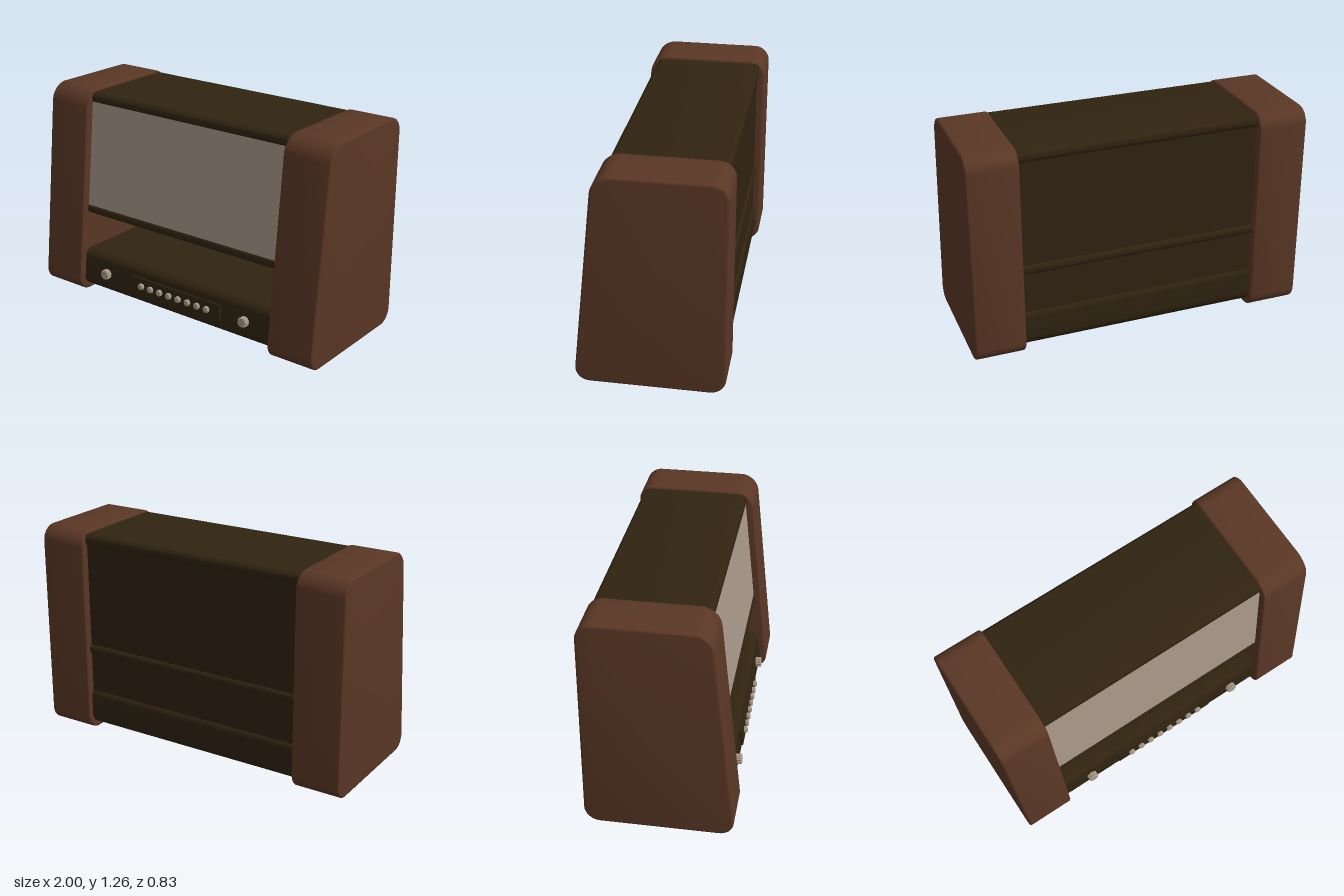
import * as THREE from 'three';
import { toCreasedNormals } from 'three/addons/utils/BufferGeometryUtils.js';

const mat = (name, color) => {
  const m = new THREE.MeshStandardMaterial({ color });
  m.name = name;
  return m;
};

// Depth of the leaning front plane at height y
const front = (y, inset = 0) => 0.426 - 0.108 * y - inset;

// Closed shape through [z, y, cornerRadius] points
function roundedShape(points) {
  const shape = new THREE.Shape();
  const n = points.length;
  points.forEach(([z, y, r], i) => {
    const c = new THREE.Vector2(z, y);
    const toward = (j) => {
      const p = points[(j + n) % n];
      return new THREE.Vector2(p[0], p[1]).sub(c).normalize();
    };
    const a = toward(i - 1), b = toward(i + 1);
    const at = (d, k) => c.clone().addScaledVector(d, k);
    const p0 = at(a, r), p3 = at(b, r), p1 = at(a, r * 0.45), p2 = at(b, r * 0.45);
    if (i === 0) shape.moveTo(p0.x, p0.y);
    else shape.lineTo(p0.x, p0.y);
    if (r > 0) shape.bezierCurveTo(p1.x, p1.y, p2.x, p2.y, p3.x, p3.y);
  });
  shape.closePath();
  return shape;
}

// Side profile extruded across the width and centred on x = 0
function slab(name, points, width, material, bevel = 0) {
  const geo = new THREE.ExtrudeGeometry(roundedShape(points), {
    depth: width - 2 * bevel, curveSegments: 10,
    bevelEnabled: bevel > 0, bevelSize: bevel, bevelThickness: bevel,
    bevelOffset: -bevel, bevelSegments: 3,
  });
  geo.translate(0, 0, -(width - 2 * bevel) / 2);
  geo.rotateY(-Math.PI / 2);
  const mesh = new THREE.Mesh(toCreasedNormals(geo, 0.6), material);
  mesh.name = name;
  return mesh;
}

// Ribbed round control pointing along +z
function knob(name, radius, length, ribs, material) {
  const pts = [];
  for (let i = 0; i < ribs * 2; i++) {
    const a = (i / (ribs * 2)) * Math.PI * 2;
    const r = radius * (i % 2 ? 0.88 : 1);
    pts.push(new THREE.Vector2(Math.cos(a) * r, Math.sin(a) * r));
  }
  const geo = new THREE.ExtrudeGeometry(new THREE.Shape(pts), {
    depth: length - 0.004, bevelEnabled: true, bevelThickness: 0.004,
    bevelSize: 0.004, bevelOffset: -0.004, bevelSegments: 1,
  });
  const mesh = new THREE.Mesh(geo, material);
  mesh.name = name;
  return mesh;
}

export function createModel() {
  const wood = mat('brown wood', 0x5a3725);
  const dark = mat('dark casing', 0x302310);
  const cloth = mat('beige', 0xa89888);
  const group = new THREE.Group();
  group.name = 'radio';
  const W = 1.42, back = -0.385;

  // Wooden end cheeks
  for (const s of [1, -1]) {
    const cheek = slab(s > 0 ? 'leftCheek' : 'rightCheek', [
      [front(0), 0, 0.09], [front(1.26), 1.26, 0.1],
      [-0.415, 1.26, 0.09], [-0.415, 0, 0.09],
    ], 0.295, wood, 0.012);
    cheek.position.x = s * 0.8525;
    group.add(cheek);
  }

  // Upper cabinet: top and bottom lips around a recessed core
  group.add(slab('topLip', [
    [front(1.18, 0.04), 1.18, 0.025], [front(1.245, 0.04), 1.245, 0.03],
    [back, 1.245, 0.03], [back, 1.18, 0.025],
  ], W, dark));
  group.add(slab('bottomLip', [
    [front(0.5, 0.04), 0.5, 0.025], [front(0.56, 0.04), 0.56, 0.025],
    [back, 0.56, 0.025], [back, 0.5, 0.025],
  ], W, dark));
  group.add(slab('cabinetCore', [
    [front(0.53, 0.054), 0.53, 0], [front(1.21, 0.054), 1.21, 0],
    [-0.37, 1.21, 0], [-0.37, 0.53, 0],
  ], W, dark));
  group.add(slab('speakerCloth', [
    [front(0.54, 0.046), 0.54, 0], [front(1.2, 0.046), 1.2, 0],
    [front(1.2, 0.054), 1.2, 0], [front(0.54, 0.054), 0.54, 0],
  ], W, cloth));

  // Wall closing the rear of the open shelf
  group.add(slab('backWall', [
    [-0.345, 0.15, 0], [-0.345, 0.53, 0], [-0.37, 0.53, 0], [-0.37, 0.15, 0],
  ], W, dark));

  // Control base
  group.add(slab('base', [
    [front(0.035, 0.04), 0.035, 0.06], [front(0.27, 0.04), 0.27, 0.045],
    [back, 0.27, 0.045], [back, 0.035, 0.07],
  ], W, dark));

  // Controls on the leaning base front
  const controls = new THREE.Group();
  controls.name = 'controls';
  controls.position.set(0, 0.155, front(0.155, 0.04));
  controls.rotation.x = -Math.atan(0.108);
  const plate = new THREE.Mesh(new THREE.BoxGeometry(0.675, 0.095, 0.026), dark);
  plate.name = 'buttonPlate';
  plate.position.x = 0.0125;
  controls.add(plate);
  for (let i = 0; i < 8; i++) {
    const button = knob('button', 0.02, 0.032, 10, cloth);
    button.position.x = -0.233 + i * 0.0705;
    controls.add(button);
  }
  for (const s of [1, -1]) {
    const dial = knob(s > 0 ? 'leftDial' : 'rightDial', 0.031, 0.034, 16, cloth);
    dial.position.x = s * 0.52;
    controls.add(dial);
  }
  group.add(controls);
  return group;
}
